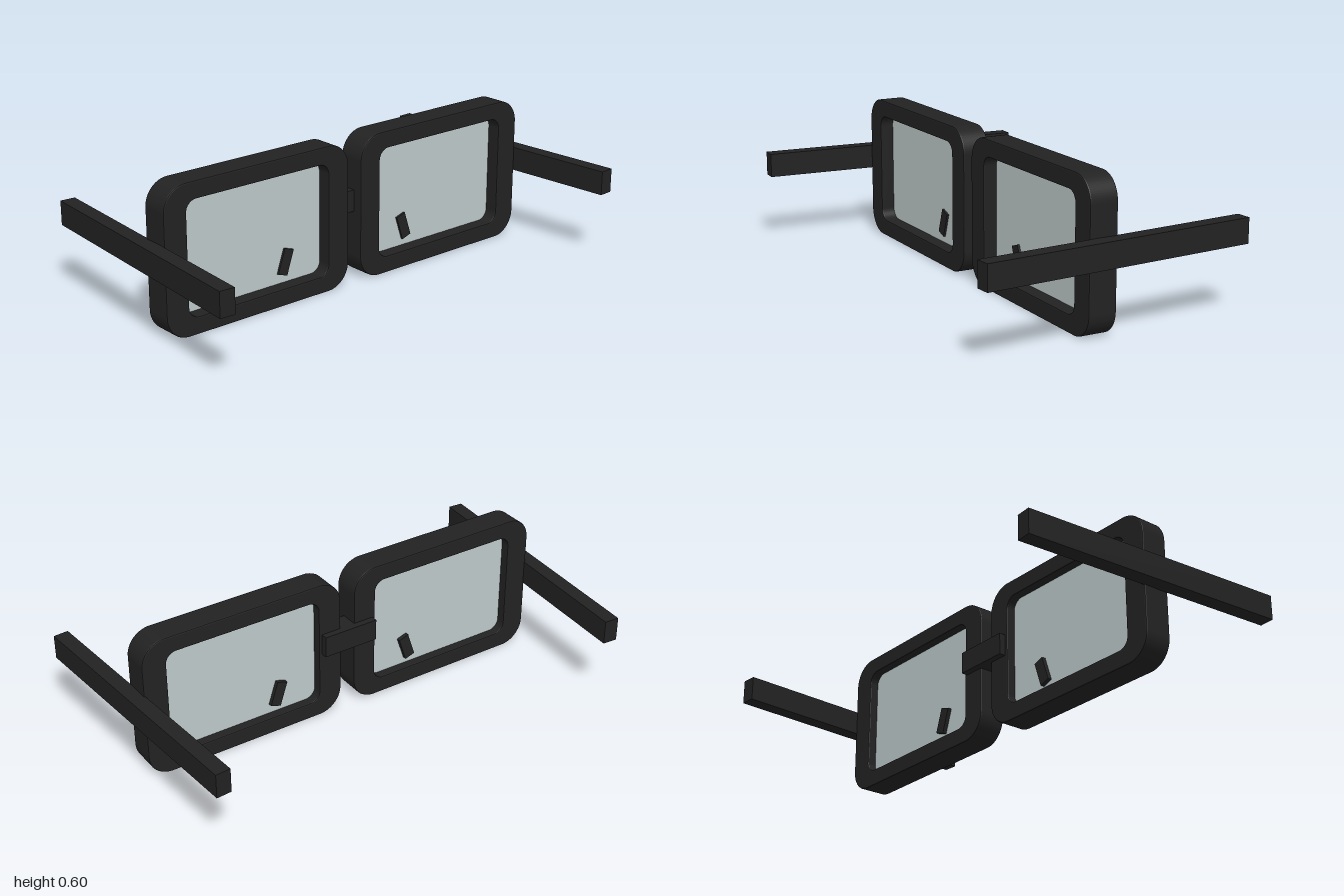
import * as THREE from 'three';

const frameMat = new THREE.MeshStandardMaterial({ color: 0x222222 });
frameMat.name = 'matte black';
const lensMat = new THREE.MeshStandardMaterial({ color: 0xbecaca });
lensMat.name = 'pale grey glass';

// Rounded rectangle outline centred on the origin
function roundedRect(target, w, h, r) {
  const x = w / 2, y = h / 2;
  target.moveTo(-x + r, -y);
  target.lineTo(x - r, -y);
  target.absarc(x - r, -y + r, r, -Math.PI / 2, 0);
  target.lineTo(x, y - r);
  target.absarc(x - r, y - r, r, 0, Math.PI / 2);
  target.lineTo(-x + r, y);
  target.absarc(-x + r, y - r, r, Math.PI / 2, Math.PI);
  target.lineTo(-x, -y + r);
  target.absarc(-x + r, -y + r, r, Math.PI, Math.PI * 1.5);
  return target;
}

function add(parent, name, geometry, material, x, y, z) {
  const mesh = new THREE.Mesh(geometry, material);
  mesh.name = name;
  mesh.position.set(x, y, z);
  parent.add(mesh);
  return mesh;
}

export function createModel() {
  const model = new THREE.Group();
  model.name = 'glasses';

  // Rim: rounded ring with a fine bevel that adds to its outline
  const bevel = 0.005;
  const ring = roundedRect(new THREE.Shape(), 0.872 - 2 * bevel, 0.6 - 2 * bevel, 0.095);
  ring.holes.push(roundedRect(new THREE.Path(), 0.67 + 2 * bevel, 0.46 + 2 * bevel, 0.05));
  const rimGeo = new THREE.ExtrudeGeometry(ring, {
    depth: 0.115 - 2 * bevel, bevelSize: bevel, bevelThickness: bevel, bevelSegments: 2, curveSegments: 10,
  });
  rimGeo.translate(0, 0, bevel);

  // Lens: thin pane tucked slightly into the rim
  const lensGeo = new THREE.ExtrudeGeometry(roundedRect(new THREE.Shape(), 0.68, 0.47, 0.052), {
    depth: 0.02, bevelEnabled: false, curveSegments: 10,
  });

  const padGeo = new THREE.BoxGeometry(0.046, 0.106, 0.046);
  const armGeo = new THREE.BoxGeometry(0.062, 0.1, 1.133);

  for (const [side, s] of [['left', 1], ['right', -1]]) {
    add(model, side + 'Rim', rimGeo, frameMat, s * 0.468, 0.3, -0.008);
    add(model, side + 'Lens', lensGeo, lensMat, s * 0.465, 0.3, 0.03);

    // Nose pad leans towards the bridge
    add(model, side + 'NosePad', padGeo, frameMat, s * 0.31, 0.155, 0.036).rotation.z = s * 0.32;

    // Arms splay apart towards +z
    add(model, side + 'Arm', armGeo, frameMat, s * 0.93, 0.33, 0).rotation.y = s * 0.068;
  }

  // Bridge overlaps the back of both rims
  add(model, 'bridge', new THREE.BoxGeometry(0.24, 0.09, 0.1), frameMat, 0, 0.33, 0.015);

  return model;
}
